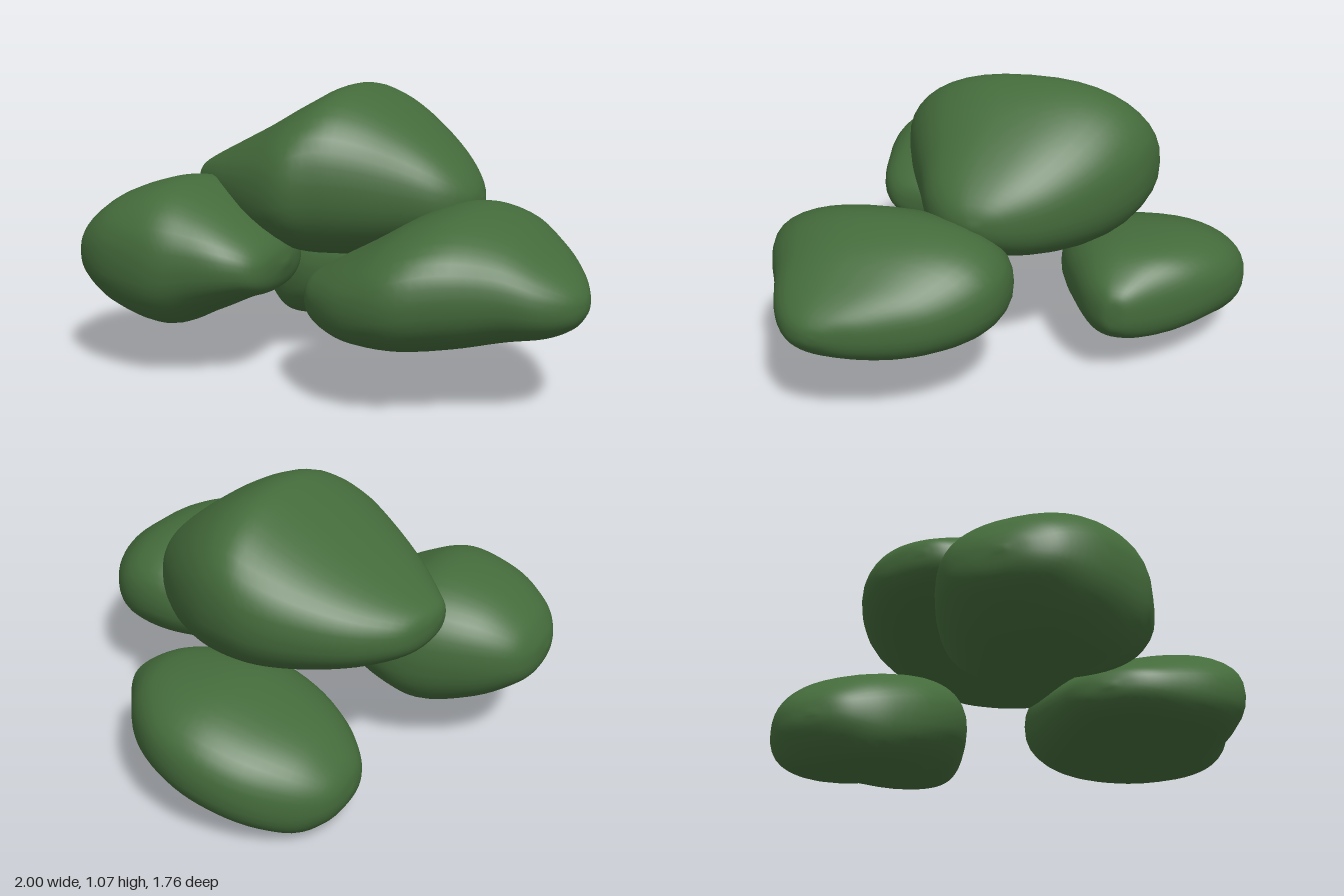
import * as THREE from 'three';
import { mergeVertices } from 'three/addons/utils/BufferGeometryUtils.js';

const RING = 40, STEPS = 44;

// Smooth rounded clump lofted along x. Each row: [x, yTop, yBottom, zBack, zFront]
function clumpGeometry(rows, power) {
  const heights = new THREE.CatmullRomCurve3(
    rows.map(r => new THREE.Vector3(r[0], r[1], r[2])), false, 'catmullrom', 0.5);
  const depths = new THREE.CatmullRomCurve3(
    rows.map(r => new THREE.Vector3(r[0], r[3], r[4])), false, 'catmullrom', 0.5);
  const soft = v => Math.sign(v) * Math.pow(Math.abs(v), 2 / power);
  const pos = [], index = [];
  for (let i = 0; i <= STEPS; i++) {
    const h = heights.getPoint(i / STEPS), d = depths.getPoint(i / STEPS);
    for (let j = 0; j < RING; j++) {
      const a = (j / RING) * Math.PI * 2;
      pos.push(h.x,
        (h.y + h.z) / 2 + soft(Math.sin(a)) * (h.y - h.z) / 2,
        (d.y + d.z) / 2 + soft(Math.cos(a)) * (d.z - d.y) / 2);
      if (i < STEPS) {
        const k = (j + 1) % RING;
        const p = i * RING + j, q = i * RING + k;
        index.push(p, p + RING, q, p + RING, q + RING, q);
      }
    }
  }
  let g = new THREE.BufferGeometry();
  g.setAttribute('position', new THREE.Float32BufferAttribute(pos, 3));
  g.setIndex(index);
  g = mergeVertices(g, 1e-5);
  g.computeVertexNormals();
  return g;
}

const clumps = {
  // large clump on top
  crownClump: [
    [-0.71, 0.67, 0.67, -0.04, -0.04],
    [-0.695, 0.72, 0.61, -0.14, 0.04],
    [-0.64, 0.76, 0.56, -0.26, 0.12],
    [-0.50, 0.83, 0.50, -0.38, 0.28],
    [-0.32, 0.92, 0.45, -0.47, 0.43],
    [-0.16, 1.01, 0.42, -0.52, 0.505],
    [-0.03, 1.07, 0.41, -0.52, 0.475],
    [0.10, 1.04, 0.42, -0.48, 0.42],
    [0.25, 0.95, 0.45, -0.38, 0.345],
    [0.40, 0.83, 0.50, -0.22, 0.27],
    [0.49, 0.73, 0.57, -0.06, 0.17],
    [0.52, 0.65, 0.65, 0.06, 0.06],
  ],
  // lower clump on the -x side
  rightClump: [
    [-1.0, 0.44, 0.44, 0.38, 0.38],
    [-0.98, 0.51, 0.36, 0.24, 0.49],
    [-0.92, 0.59, 0.30, 0.14, 0.59],
    [-0.78, 0.68, 0.22, 0.05, 0.69],
    [-0.58, 0.73, 0.17, -0.02, 0.745],
    [-0.42, 0.68, 0.23, -0.02, 0.725],
    [-0.27, 0.59, 0.30, 0.06, 0.68],
    [-0.18, 0.51, 0.34, 0.20, 0.59],
    [-0.15, 0.43, 0.43, 0.40, 0.40],
  ],
  // lower clump on the +x side
  leftClump: [
    [-0.04, 0.35, 0.35, 0.44, 0.44],
    [-0.015, 0.42, 0.29, 0.31, 0.57],
    [0.06, 0.47, 0.245, 0.21, 0.69],
    [0.20, 0.545, 0.21, 0.08, 0.82],
    [0.38, 0.645, 0.195, -0.05, 0.88],
    [0.55, 0.69, 0.205, -0.10, 0.835],
    [0.72, 0.65, 0.235, -0.06, 0.75],
    [0.86, 0.56, 0.265, 0.09, 0.69],
    [0.95, 0.49, 0.31, 0.28, 0.62],
    [0.99, 0.44, 0.36, 0.42, 0.55],
    [1.0, 0.40, 0.40, 0.49, 0.49],
  ],
  // lowest clump at the back
  backClump: [
    [-0.60, 0.16, 0.16, -0.51, -0.51],
    [-0.585, 0.23, 0.11, -0.61, -0.41],
    [-0.54, 0.29, 0.05, -0.69, -0.33],
    [-0.45, 0.36, 0.0, -0.77, -0.24],
    [-0.30, 0.43, 0.015, -0.85, -0.16],
    [-0.12, 0.49, 0.06, -0.88, -0.14],
    [0.05, 0.50, 0.115, -0.84, -0.18],
    [0.20, 0.48, 0.135, -0.73, -0.25],
    [0.31, 0.42, 0.165, -0.59, -0.32],
    [0.37, 0.36, 0.22, -0.50, -0.39],
    [0.38, 0.29, 0.29, -0.44, -0.44],
  ],
};

export function createModel() {
  const group = new THREE.Group();
  group.name = 'foliageCluster';
  const leafGreen = new THREE.MeshStandardMaterial({ color: 0x446b3b });
  leafGreen.name = 'leafGreen';
  for (const [name, rows] of Object.entries(clumps)) {
    const mesh = new THREE.Mesh(clumpGeometry(rows, 2.35), leafGreen);
    mesh.name = name;
    group.add(mesh);
  }
  return group;
}
